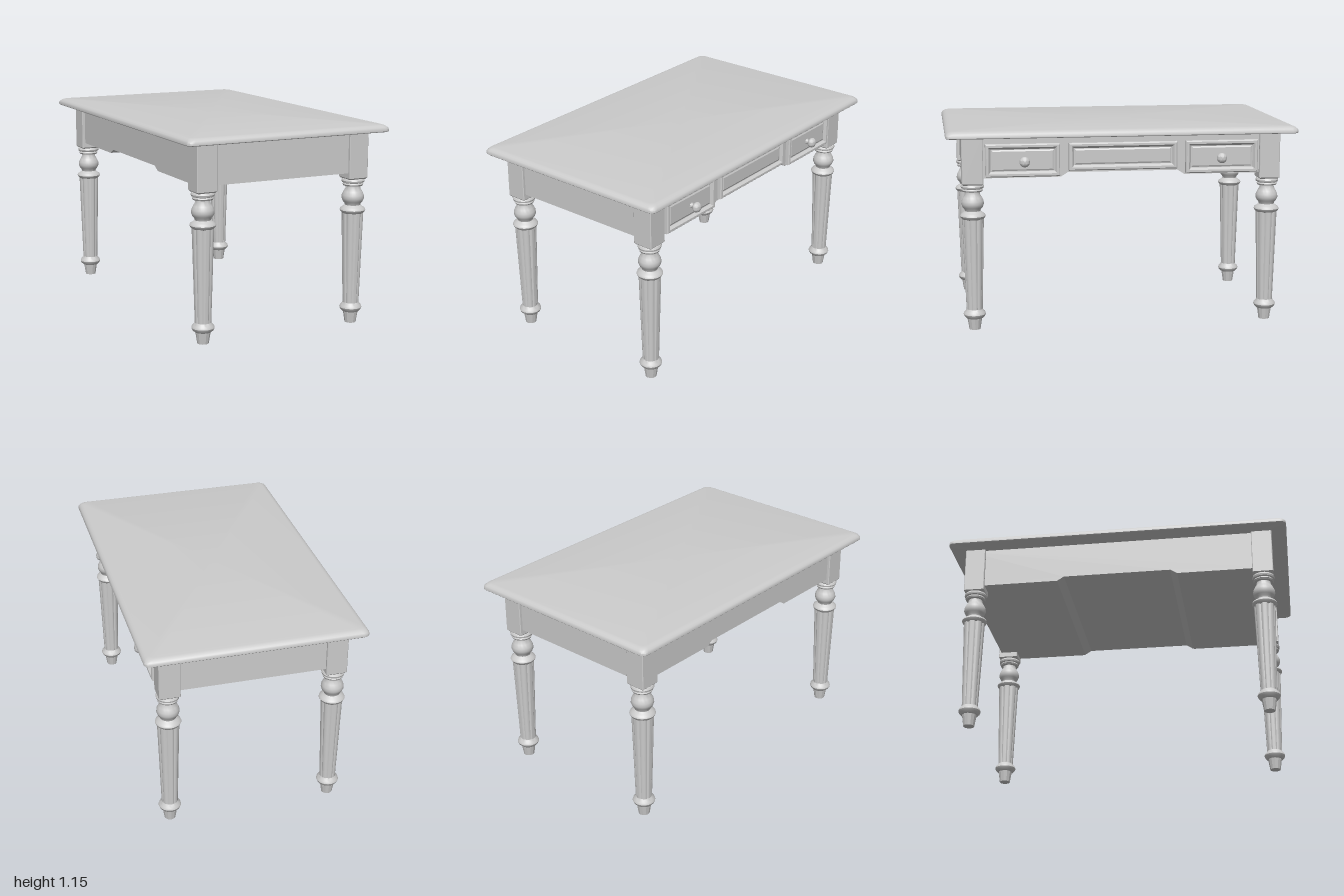
import * as THREE from 'three';
import { toCreasedNormals } from 'three/addons/utils/BufferGeometryUtils.js';

const material = new THREE.MeshStandardMaterial({ color: 0xcccccc });

function part(name, geometry, x = 0, y = 0, z = 0) {
  const mesh = new THREE.Mesh(geometry, material);
  mesh.name = name;
  mesh.position.set(x, y, z);
  return mesh;
}

// Rectangle outline in the xz plane with rounded (n > 1) or sharp (n = 1) corners
function outline(hx, hz, r, n) {
  const points = [];
  [[1, 1], [-1, 1], [-1, -1], [1, -1]].forEach(([sx, sz], q) => {
    for (let i = 0; i < n; i++) {
      const a = (q + (n > 1 ? i / (n - 1) : 0)) * Math.PI / 2;
      points.push(n > 1
        ? [sx * (hx - r) + r * Math.cos(a), sz * (hz - r) + r * Math.sin(a)]
        : [sx * hx, sz * hz]);
    }
  });
  return points;
}

// Stacks inset outlines: levels are [y, inset]
function moulded(hx, hz, levels, r = 0, n = 1, crease = 0.5) {
  const pos = [], idx = [], count = 4 * n;
  for (const [y, inset] of levels)
    for (const [x, z] of outline(hx - inset, hz - inset, r, n)) pos.push(x, y, z);
  const top = levels.length - 1, base = pos.length / 3;
  pos.push(0, levels[0][0], 0, 0, levels[top][0], 0);
  for (let i = 0; i < count; i++) {
    const j = (i + 1) % count;
    for (let k = 0; k < top; k++) {
      const a = k * count + i, b = k * count + j, c = a + count, d = b + count;
      idx.push(a, c, b, b, c, d);
    }
    idx.push(base, i, j, base + 1, top * count + j, top * count + i);
  }
  const g = new THREE.BufferGeometry();
  g.setAttribute('position', new THREE.Float32BufferAttribute(pos, 3));
  g.setIndex(idx);
  return toCreasedNormals(g, crease);
}

function lathe(points, segments, crease = 0.7) {
  const g = new THREE.LatheGeometry(points.map(p => new THREE.Vector2(...p)), segments);
  return toCreasedNormals(g, crease);
}

// Tapered shaft with shallow vertical flutes
function flutedShaft() {
  const g = new THREE.CylinderGeometry(0.062, 0.046, 0.54, 64, 1, true);
  const p = g.attributes.position;
  for (let i = 0; i < p.count; i++) {
    const a = Math.atan2(p.getZ(i), p.getX(i));
    const s = 1 - 0.1 * Math.pow(Math.abs(Math.cos(4 * a + Math.PI / 2)), 8);
    p.setX(i, p.getX(i) * s);
    p.setZ(i, p.getZ(i) * s);
  }
  return toCreasedNormals(g, 0.5);
}

export function createModel() {
  const group = new THREE.Group();

  // Table top with an eased upper edge
  group.add(part('tableTop', moulded(0.622, 1,
    [[1.115, 0.004], [1.119, 0], [1.131, 0], [1.14, 0.005], [1.148, 0.014], [1.153, 0.025], [1.155, 0.035]],
    0.035, 5, 0.7)));

  // Apron body, closed below, stepped up at the middle
  const profile = new THREE.Shape([
    [-0.895, 0.88], [-0.355, 0.88], [-0.315, 0.905], [0.315, 0.905], [0.355, 0.88],
    [0.895, 0.88], [0.895, 1.117], [-0.895, 1.117],
  ].map(p => new THREE.Vector2(...p)));
  const apron = new THREE.ExtrudeGeometry(profile, { depth: 1.03, bevelEnabled: false });
  apron.translate(0, 0, -0.515).rotateY(Math.PI / 2);
  group.add(part('apron', apron));

  // Legs: square post, turned collar and urn, fluted shaft, ring and foot
  const post = moulded(0.06, 0.06, [[0.842, 0.008], [0.85, 0], [1.117, 0]], 0.004, 2);
  const turning = lathe([
    [0.04, 0.63], [0.061, 0.645], [0.068, 0.652], [0.073, 0.662], [0.069, 0.672], [0.056, 0.68],
    [0.044, 0.69], [0.047, 0.701], [0.057, 0.712], [0.064, 0.73], [0.062, 0.748],
    [0.053, 0.768], [0.042, 0.786], [0.041, 0.8], [0.055, 0.802], [0.059, 0.81], [0.055, 0.818],
    [0.063, 0.822], [0.066, 0.832], [0.061, 0.842], [0.04, 0.845],
  ], 32);
  const ring = lathe([
    [0.036, 0.066], [0.048, 0.067], [0.059, 0.078], [0.064, 0.09], [0.06, 0.102],
    [0.05, 0.112], [0.046, 0.12],
  ], 32);
  const foot = toCreasedNormals(new THREE.CylinderGeometry(0.043, 0.032, 0.07, 12), 0.4);
  const shaft = flutedShaft();
  for (const sx of [-1, 1]) for (const sz of [-1, 1]) {
    const leg = new THREE.Group();
    leg.name = (sz > 0 ? 'front' : 'back') + (sx > 0 ? 'Left' : 'Right') + 'Leg';
    leg.position.set(sx * 0.472, 0, sz * 0.852);
    leg.add(part('post', post), part('turning', turning), part('shaft', shaft, 0, 0.382, 0),
      part('ankleRing', ring), part('foot', foot, 0, 0.035, 0));
    group.add(leg);
  }

  // Framed drawer fronts along the +x side
  const front = (name, y, z, height, width) => {
    const panel = part(name, moulded(height / 2, width / 2, [
      [0, 0], [0.022, 0], [0.028, 0.006], [0.028, 0.018], [0.022, 0.022],
      [0.012, 0.03], [0.012, 0.034], [0.016, 0.042],
    ], 0, 1, 0.3), 0.513, y, z);
    panel.rotation.z = -Math.PI / 2;
    group.add(panel);
  };
  front('middlePanel', 0.994, 0, 0.156, 0.62);
  const knob = lathe([
    [0.016, 0], [0.013, 0.006], [0.011, 0.018], [0.022, 0.024], [0.029, 0.034],
    [0.029, 0.044], [0.023, 0.055], [0.012, 0.061], [0, 0.063],
  ], 24);
  for (const s of [-1, 1]) {
    front(s > 0 ? 'frontDrawer' : 'backDrawer', 0.98, s * 0.57, 0.186, 0.42);
    const handle = part(s > 0 ? 'frontKnob' : 'backKnob', knob, 0.527, 0.975, s * 0.562);
    handle.rotation.z = -Math.PI / 2;
    group.add(handle);
  }
  return group;
}
